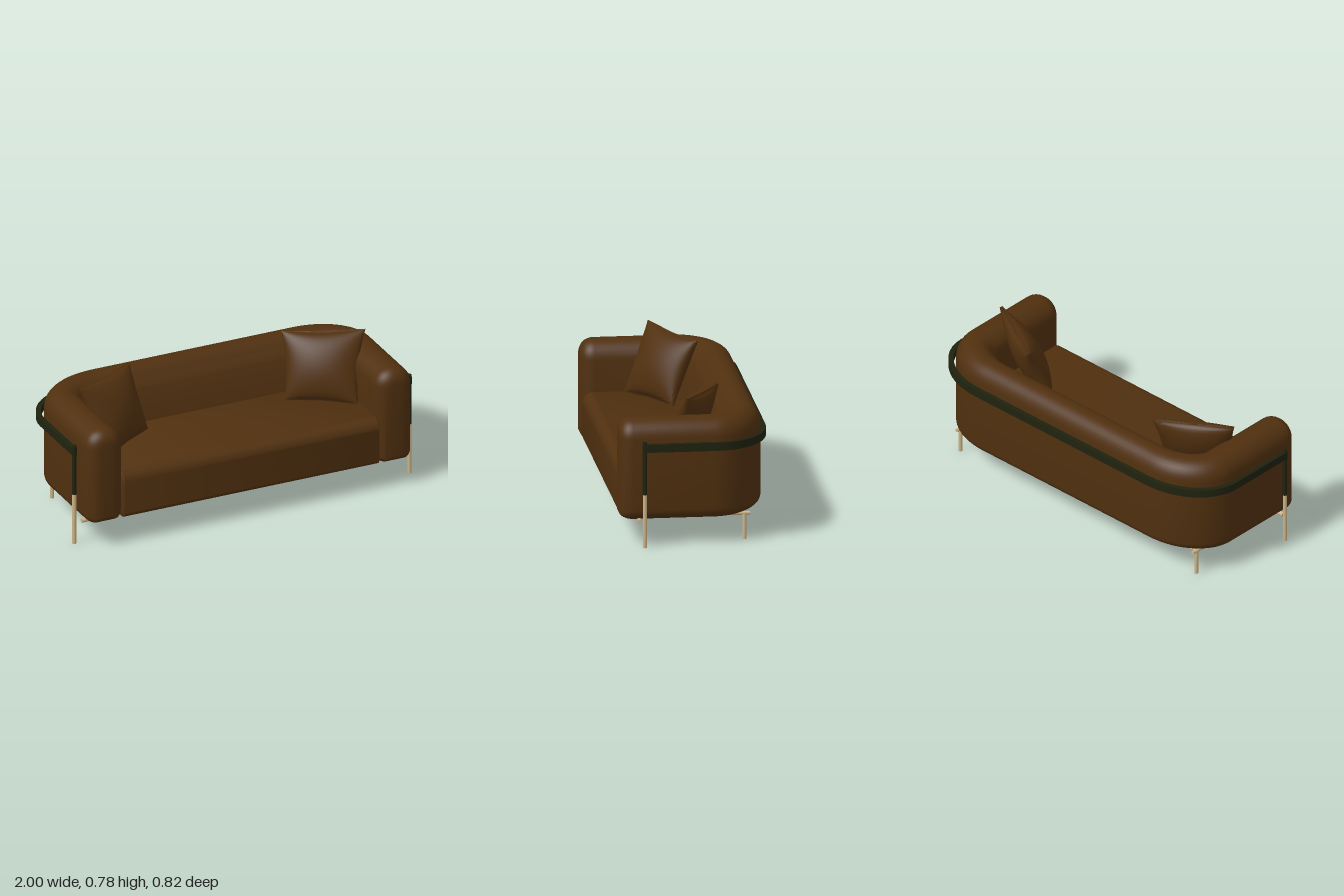
import * as THREE from 'three';
import { mergeVertices, toCreasedNormals } from 'three/addons/utils/BufferGeometryUtils.js';

const mat = (name, color) => {
  const m = new THREE.MeshStandardMaterial({ color });
  m.name = name;
  return m;
};

// Skin a list of closed rings of [x, y, z] points, with end caps, facing outwards
function loft(rings, crease = 0.8) {
  const n = rings[0].length, pos = rings.flat(2), idx = [];
  for (let i = 0; i < rings.length - 1; i++) {
    for (let j = 0; j < n; j++) {
      const a = i * n + j, b = i * n + (j + 1) % n;
      idx.push(a, b, a + n, b, b + n, a + n);
    }
  }
  [0, rings.length - 1].forEach((r, end) => {
    const c = pos.length / 3;
    for (let k = 0; k < 3; k++) pos.push(rings[r].reduce((s, p) => s + p[k], 0) / n);
    for (let j = 0; j < n; j++) {
      const a = r * n + j, b = r * n + (j + 1) % n;
      idx.push(c, ...(end ? [a, b] : [b, a]));
    }
  });
  const at = (i) => new THREE.Vector3().fromArray(pos, i * 3);
  let volume = 0;
  for (let i = 0; i < idx.length; i += 3) volume += at(idx[i]).dot(at(idx[i + 1]).cross(at(idx[i + 2])));
  if (volume < 0) idx.reverse();
  let g = new THREE.BufferGeometry();
  g.setAttribute('position', new THREE.Float32BufferAttribute(pos, 3));
  g.setIndex(idx);
  g = mergeVertices(g, 1e-5);
  return toCreasedNormals(g, crease);
}

// Rounded rectangle as [u, y] points; radii start at lower left, anticlockwise
function roundedRect(u0, u1, y0, y1, radii, steps = 8) {
  const pts = [];
  [[u0, y0, 1, 1], [u1, y0, -1, 1], [u1, y1, -1, -1], [u0, y1, 1, -1]].forEach(([u, y, su, sy], c) => {
    const r = radii[c];
    for (let i = 0; i <= steps; i++) {
      const a = Math.PI * (1 + c / 2) + (i / steps) * Math.PI / 2;
      pts.push([u + su * r + r * Math.cos(a), y + sy * r + r * Math.sin(a)]);
    }
  });
  return pts;
}

// U-shaped plan with elliptical rear corners: phi 0 is the side, PI/2 the back
const plan = ({ x, z, rx, rz }, phi) => [x - rx + rx * Math.cos(phi), z + rz - rz * Math.sin(phi)];

// Sweep a profile between an outer and an inner U plan; starts = [{z, profile}] along the arm
function sweepU(outer, inner, starts, shift = () => 0) {
  const half = [];
  const section = (phi, z, profile) => {
    const o = plan(outer, phi), i = plan(inner, phi), w = Math.sin(phi);
    return profile.map(([f, y]) => [
      o[0] + (i[0] - o[0]) * f, y,
      (z ?? o[1] + (i[1] - o[1]) * f) + f * w * shift(y),
    ]);
  };
  starts.forEach(({ z, profile }) => half.push(section(0, z, profile)));
  const full = starts[starts.length - 1].profile;
  for (let i = 0; i <= 16; i++) half.push(section(i / 16 * Math.PI / 2, null, full));
  const mirrored = half.map((r) => r.map(([x, y, z]) => [-x, y, z])).reverse();
  return loft([...half, ...mirrored]);
}

// Plump cushion from four corners, pinched along its edges
function cushionGeometry(s) {
  const [tl, tr, br, bl] = [[0.845, 0.772, 0.035], [0.45, 0.75, -0.175], [0.405, 0.412, -0.04], [0.735, 0.41, 0.175]]
    .map((p) => new THREE.Vector3(...p));
  const normal = tr.clone().sub(tl).cross(bl.clone().sub(tl)).normalize();
  const N = 20, rings = [];
  const point = (a, b, side) => {
    const a2 = a * (1 - 0.09 * (1 - b * b)), b2 = b * (1 - 0.09 * (1 - a * a));
    const u = (a2 + 1) / 2, v = (b2 + 1) / 2;
    const p = tl.clone().lerp(tr, u).lerp(bl.clone().lerp(br, u), v);
    const puff = 0.008 + 0.07 * Math.pow(Math.max(0, (1 - a * a) * (1 - b * b)), 0.55);
    p.addScaledVector(normal, side * puff);
    return [p.x * s, Math.max(p.y, 0.4), p.z];
  };
  const t = (i) => -Math.cos(i / N * Math.PI);
  for (let j = 0; j <= N; j++) {
    const ring = [];
    for (let i = 0; i <= N; i++) ring.push(point(t(i), t(j), 1));
    for (let i = N; i >= 0; i--) ring.push(point(t(i), t(j), -1));
    rings.push(ring);
  }
  return loft(rings, 1.3);
}

export function createModel() {
  const leather = mat('brown leather', 0x50300f);
  const brass = mat('pale brass', 0xcdb486);
  const dark = mat('dark metal', 0x20220f);
  const group = new THREE.Group();
  group.name = 'sofa';
  const add = (name, geometry, material) => {
    const m = new THREE.Mesh(geometry, material);
    m.name = name;
    group.add(m);
    return m;
  };
  // Round bar between two points
  const bar = (name, a, b, r, material) => {
    const from = new THREE.Vector3(...a), dir = new THREE.Vector3(...b).sub(from);
    const m = add(name, new THREE.CylinderGeometry(r, r, dir.length(), 16), material);
    m.position.copy(from).addScaledVector(dir, 0.5);
    m.quaternion.setFromUnitVectors(new THREE.Vector3(0, 1, 0), dir.normalize());
    return m;
  };

  // Arms and back: one padded shell with rounded arm fronts
  const W = 0.21, R = 0.075, starts = [];
  for (let i = 0; i <= 8; i++) {
    const a = i / 8 * Math.PI / 2, d = R * (1 - Math.sin(a));
    const r = 0.1 - d, rb = Math.max(0.055 - d, 0.008);
    starts.push({
      z: 0.408 - R + R * Math.cos(a),
      profile: roundedRect(d, W - d, 0.14 + d * 0.6, 0.683 - d, [rb, rb, r, r]).map(([u, y]) => [u / W, y]),
    });
  }
  const slope = (y) => 0.125 * THREE.MathUtils.clamp((0.64 - y) / 0.23, 0, 1);
  add('armsAndBack', sweepU(
    { x: 0.957, z: -0.382, rx: 0.35, rz: 0.28 },
    { x: 0.747, z: -0.2, rx: 0.2, rz: 0.1 }, starts, slope), leather);

  // Seat, rounded along its front edge
  const seatProfile = roundedRect(-0.25, 0.403, 0.15, 0.412, [0.01, 0.03, 0.06, 0.01]);
  add('seat', loft([[-0.755, 0.006], [-0.749, 0], [0.749, 0], [0.755, 0.006]].map(([x, d]) =>
    seatProfile.map(([z, y]) => [x, y - d * (y > 0.3 ? 1 : -1), z - (z > 0 ? d : 0)]))), leather);

  // Loose cushions
  add('leftCushion', cushionGeometry(1), leather);
  add('rightCushion', cushionGeometry(-1), leather);

  // Band wrapping around the sides and back
  const band = roundedRect(0, 1, 0.522, 0.566, [0, 0, 0, 0], 1);
  add('wrapBand', sweepU(
    { x: 1.0, z: -0.41, rx: 0.38, rz: 0.3 },
    { x: 0.975, z: -0.384, rx: 0.36, rz: 0.28 }, [{ z: 0.285, profile: band }]), dark);

  // Legs and side rails
  for (const [s, side] of [[1, 'left'], [-1, 'right']]) {
    bar(side + 'FrontLegLower', [s * 0.987, 0, 0.278], [s * 0.987, 0.29, 0.278], 0.011, brass);
    bar(side + 'FrontLegUpper', [s * 0.987, 0.29, 0.278], [s * 0.987, 0.578, 0.278], 0.012, dark);
    bar(side + 'RearLeg', [s * 0.855, 0, -0.27], [s * 0.855, 0.145, -0.27], 0.011, brass);
    bar(side + 'SideRail', [s * 0.855, 0.141, 0.335], [s * 0.855, 0.141, -0.3], 0.01, brass);
  }

  // Cross rails and centre support
  bar('frontRail', [-0.955, 0.137, 0.3], [0.955, 0.137, 0.3], 0.012, brass);
  bar('rearRail', [-0.855, 0.145, -0.27], [0.855, 0.145, -0.27], 0.01, brass);
  bar('centreLeg', [0, 0, -0.045], [0, 0.16, -0.045], 0.011, dark);
  return group;
}
